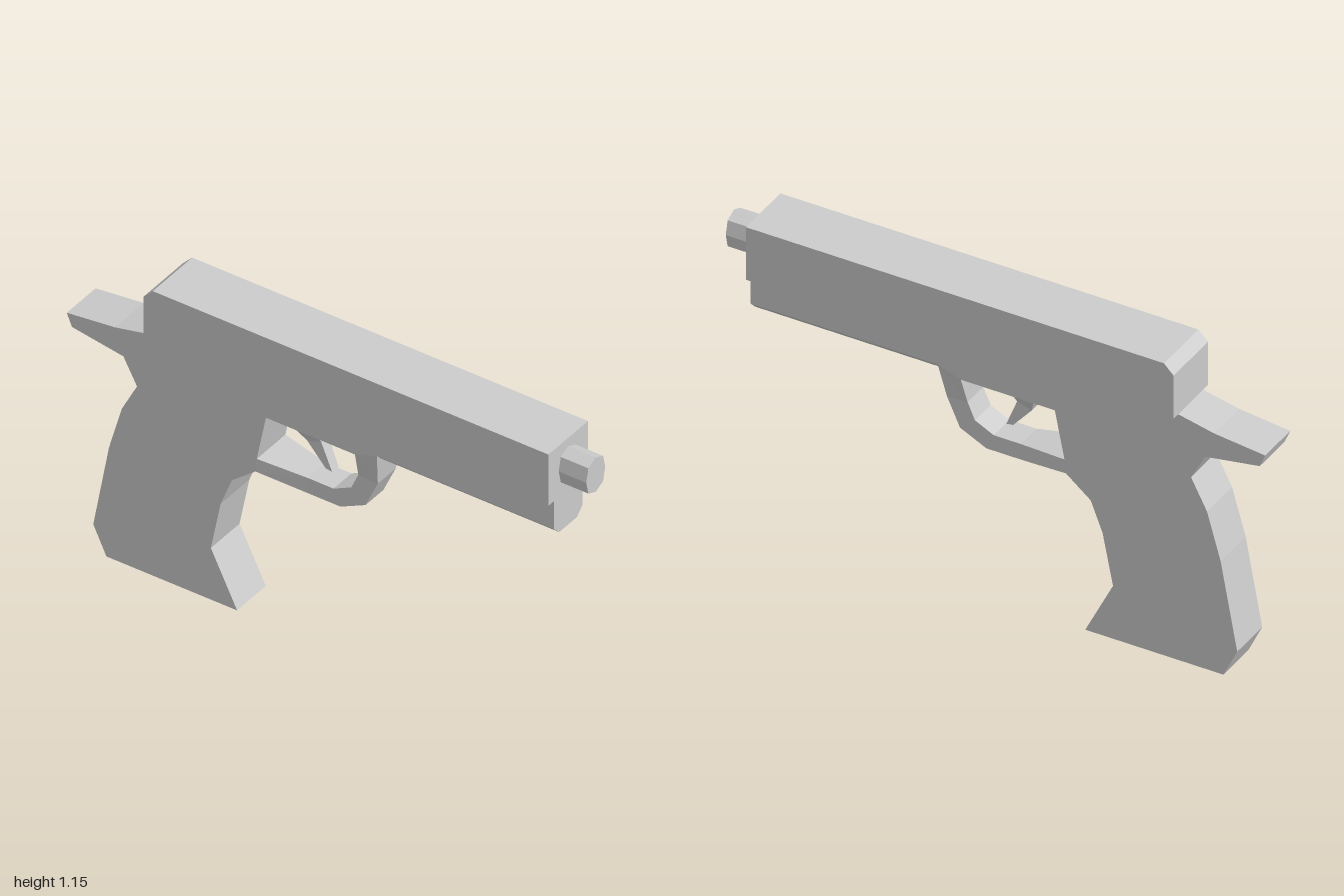
import * as THREE from 'three';

const material = new THREE.MeshStandardMaterial({ color: 0xcccccc, flatShading: true });

function addMesh(group, name, geometry) {
  const mesh = new THREE.Mesh(geometry, material);
  mesh.name = name;
  group.add(mesh);
}

const toShape = (points) => new THREE.Shape(points.map(([x, y]) => new THREE.Vector2(x, y)));

// Side profile (x, y) extruded evenly to both sides of z = 0
function slab(points, halfWidth) {
  const geometry = new THREE.ExtrudeGeometry(toShape(points), { depth: halfWidth * 2, bevelEnabled: false });
  return geometry.translate(0, 0, -halfWidth);
}

// End profile (z, y) extruded along x
function bar(points, x0, x1) {
  const geometry = new THREE.ExtrudeGeometry(toShape(points), { depth: x1 - x0, bevelEnabled: false });
  return geometry.rotateY(Math.PI / 2).translate(x0, 0, 0);
}

// Rectangular sections [x, y, x, y, halfWidth] joined into a closed strip
function loft(sections) {
  const rings = sections.map(([x0, y0, x1, y1, w]) => [
    [x0, y0, w], [x1, y1, w], [x1, y1, -w], [x0, y0, -w],
  ]);
  const positions = [];
  const quad = (a, b, c, d) => positions.push(...a, ...b, ...c, ...a, ...c, ...d);
  for (let i = 0; i < rings.length - 1; i++) {
    for (let j = 0; j < 4; j++) {
      const k = (j + 1) % 4;
      quad(rings[i][j], rings[i + 1][j], rings[i + 1][k], rings[i][k]);
    }
  }
  const first = rings[0];
  const last = rings[rings.length - 1];
  quad(first[0], first[1], first[2], first[3]);
  quad(last[3], last[2], last[1], last[0]);
  const geometry = new THREE.BufferGeometry();
  geometry.setAttribute('position', new THREE.Float32BufferAttribute(positions, 3));
  geometry.computeVertexNormals();
  return geometry;
}

export function createModel() {
  const model = new THREE.Group();
  model.name = 'pistol';

  // Slide with its chamfered rear top edge
  addMesh(model, 'slide', slab([
    [-0.68, 0.95], [0.893, 0.95], [0.893, 1.153], [-0.645, 1.153], [-0.68, 1.117],
  ], 0.11));

  // Frame, tang and grip in one profile
  addMesh(model, 'frameAndGrip', slab([
    [-1, 0.9], [-0.98, 0.852], [-0.78, 0.82], [-0.727, 0.723], [-0.786, 0.61],
    [-0.836, 0.435], [-0.897, 0.106], [-0.846, 0], [-0.338, 0], [-0.44, 0.204],
    [-0.402, 0.395], [-0.358, 0.507], [-0.267, 0.58], [-0.262, 0.63], [-0.226, 0.81],
    [0.12, 0.81], [0.205, 0.84], [0.893, 0.84], [0.893, 0.95], [-0.68, 0.95], [-0.813, 0.921],
  ], 0.08));

  // Bevelled underside in front of the guard
  addMesh(model, 'lowerRail', bar([[-0.05, 0.81], [0.05, 0.81], [0.08, 0.84], [-0.08, 0.84]], 0.2, 0.893));

  // Trigger guard, flaring to the frame at both ends
  addMesh(model, 'triggerGuard', loft([
    [0.12, 0.81, 0.205, 0.84, 0.08],
    [0.112, 0.708, 0.188, 0.705, 0.05],
    [0.085, 0.647, 0.14, 0.6, 0.05],
    [0.016, 0.613, 0.043, 0.553, 0.05],
    [-0.085, 0.613, -0.096, 0.553, 0.05],
    [-0.262, 0.632, -0.267, 0.58, 0.08],
  ]));

  // Trigger, wide at its root
  addMesh(model, 'trigger', loft([
    [-0.14, 0.81, -0.053, 0.81, 0.065],
    [-0.107, 0.733, -0.053, 0.75, 0.02],
    [-0.037, 0.652, -0.012, 0.648, 0.018],
  ]));

  // Eight-sided muzzle
  addMesh(model, 'barrel', bar([
    [0, 0.984], [0.041, 1.002], [0.053, 1.052], [0.041, 1.102],
    [0, 1.12], [-0.041, 1.102], [-0.053, 1.052], [-0.041, 1.002],
  ], 0.88, 1));

  return model;
}
